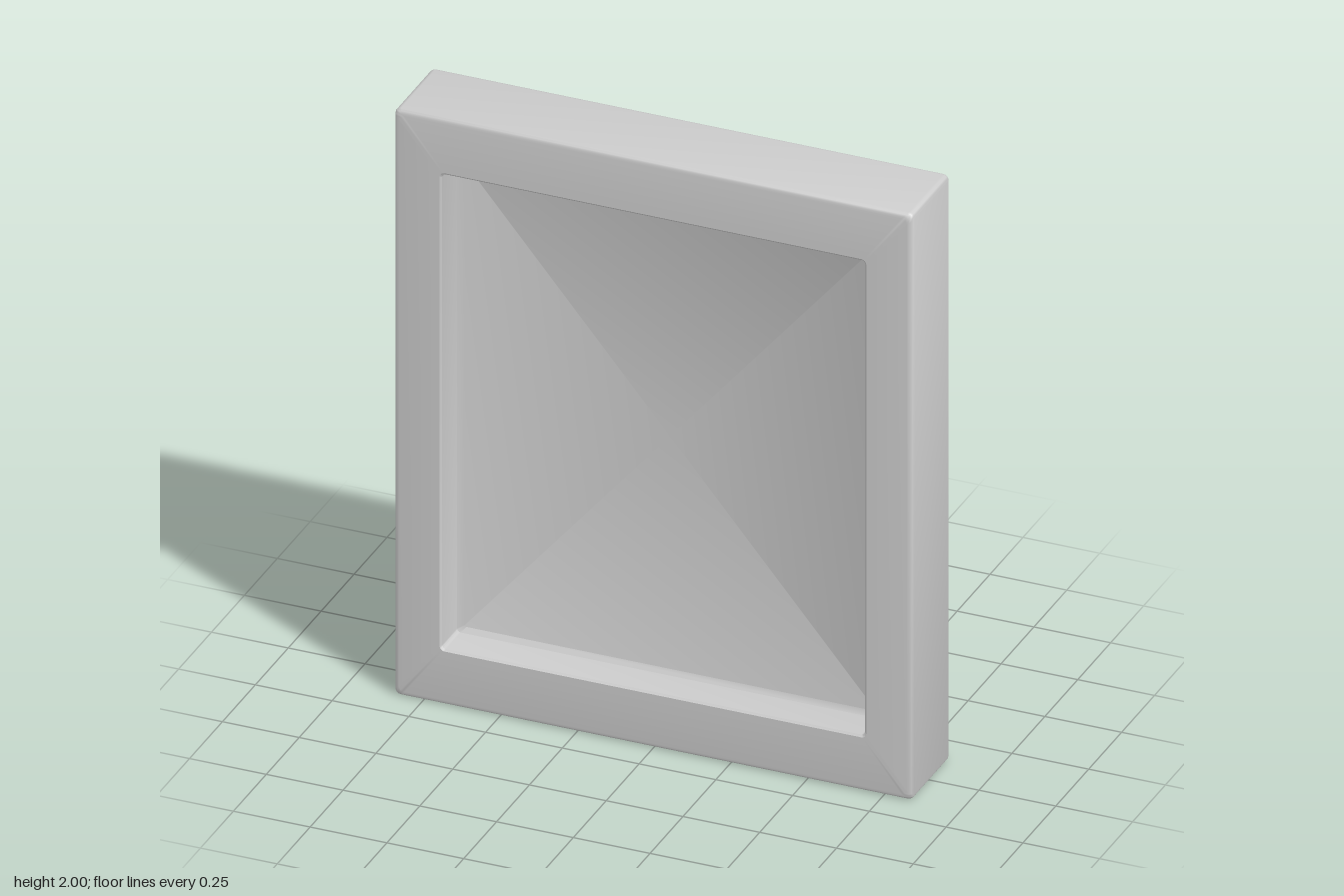
import * as THREE from 'three';
import { toCreasedNormals } from 'three/addons/utils/BufferGeometryUtils.js';

const CORNER_STEPS = 4;

// Rounded rectangle in the xy plane, counter-clockwise seen from the front
function ring([halfW, halfH, radius, z]) {
  const points = [];
  for (let corner = 0; corner < 4; corner++) {
    const sx = corner === 0 || corner === 3 ? 1 : -1;
    const sy = corner < 2 ? 1 : -1;
    for (let k = 0; k <= CORNER_STEPS; k++) {
      const a = (corner + k / CORNER_STEPS) * Math.PI / 2;
      points.push(new THREE.Vector3(
        sx * (halfW - radius) + radius * Math.cos(a),
        1 + sy * (halfH - radius) + radius * Math.sin(a),
        z));
    }
  }
  return points;
}

// Skin a list of rings, leaving out collapsed triangles at the cap centres
function skin(sections) {
  const rings = sections.map(ring);
  const position = [];
  const triangle = (a, b, c) => {
    if (new THREE.Triangle(a, b, c).getArea() < 1e-9) return;
    for (const p of [a, b, c]) position.push(p.x, p.y, p.z);
  };
  for (let i = 0; i < rings.length - 1; i++) {
    const n = rings[i].length;
    for (let j = 0; j < n; j++) {
      const k = (j + 1) % n;
      triangle(rings[i][j], rings[i][k], rings[i + 1][j]);
      triangle(rings[i][k], rings[i + 1][k], rings[i + 1][j]);
    }
  }
  const geometry = new THREE.BufferGeometry();
  geometry.setAttribute('position', new THREE.Float32BufferAttribute(position, 3));
  return toCreasedNormals(geometry, Math.PI / 5);
}

export function createModel() {
  const group = new THREE.Group();
  group.name = 'pictureFrame';
  const material = new THREE.MeshStandardMaterial({ color: 0xcccccc });
  const add = (name, sections) => {
    const mesh = new THREE.Mesh(skin(sections), material);
    mesh.name = name;
    group.add(mesh);
  };

  const W = 0.845, H = 1, D = 0.145, R = 0.018;   // outer half sizes and edge rounding
  const w = 0.695, h = 0.816, lip = 0.006;        // opening half sizes and its softened lip
  const floor = 0.015;

  // Outer edge rounding, from the back face round to the front face
  const outer = [];
  for (const side of [-1, 1]) {
    for (let k = 0; k <= CORNER_STEPS; k++) {
      const t = k / CORNER_STEPS * Math.PI / 2;
      const a = side < 0 ? t : Math.PI / 2 - t;
      const inset = R * (1 - Math.sin(a));
      outer.push([W - inset, H - inset, R, side * (D - R + R * Math.cos(a))]);
    }
  }

  // Closed back, rounded outside, front border and walls of the recess
  add('frame', [
    [0, 0, 0, -D],
    ...outer,
    [w, h, 0.016, D],
    [w - lip, h - lip, 0.012, D - lip],
    [w - lip, h - lip, 0.012, floor + 0.012],
  ]);

  // Recessed panel with a narrow sloped border
  add('panel', [
    [w - lip, h - lip, 0.012, floor + 0.012],
    [w - 0.026, h - 0.022, 0.006, floor],
    [0, 0, 0, floor],
  ]);
  return group;
}
